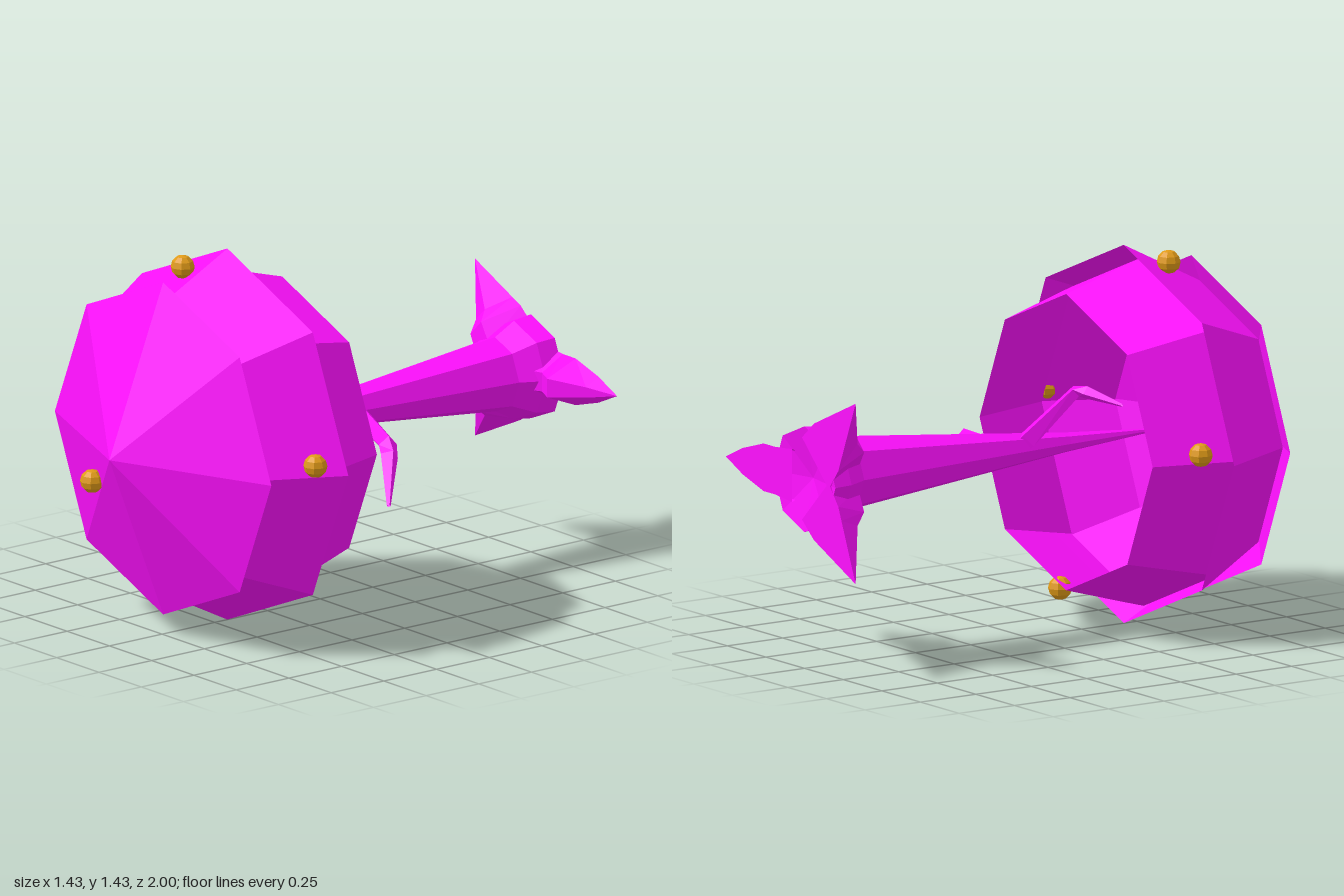
import * as THREE from 'three';

const leaf = new THREE.MeshStandardMaterial({ color: 0xff10ff, flatShading: true, side: THREE.DoubleSide });
const gold = new THREE.MeshStandardMaterial({ color: 0xe09a18, flatShading: true, side: THREE.DoubleSide });

// Octagonal surface around the z axis from [radius, z] pairs
function turned(profile) {
  const g = new THREE.LatheGeometry(profile.map(([r, z]) => new THREE.Vector2(r, z)), 8);
  return g.rotateX(Math.PI / 2);
}

// Skin joining rings that hold the same number of points
function loft(rings) {
  const n = rings[0].length, index = [];
  for (let i = 0; i < rings.length - 1; i++) {
    for (let j = 0; j < n; j++) {
      const a = i * n + j, b = i * n + (j + 1) % n;
      index.push(a, b, a + n, b, b + n, a + n);
    }
  }
  const g = new THREE.BufferGeometry().setFromPoints(rings.flat());
  g.setIndex(index);
  const flat = g.toNonIndexed();
  flat.computeVertexNormals();
  return flat;
}

// Tapered limb through [x, y, z, radius] points, square in section
function limb(nodes) {
  const pts = nodes.map(([x, y, z]) => new THREE.Vector3(x, y, z));
  return loft(pts.map((p, i) => {
    const dir = pts[Math.min(i + 1, pts.length - 1)].clone().sub(pts[Math.max(i - 1, 0)]).normalize();
    const u = new THREE.Vector3(0, 0, 1).cross(dir).normalize();
    const v = dir.clone().cross(u);
    return [0, 1, 2, 3].map(k => {
      const a = k * Math.PI / 2, r = nodes[i][3];
      return p.clone().addScaledVector(u, r * Math.cos(a)).addScaledVector(v, r * Math.sin(a));
    });
  }));
}

// Root spike along +x from [reach, half width, front z], flat against z = -1
function root(sections) {
  return loft(sections.map(([r, w, top]) => [
    new THREE.Vector3(r, -w, -1), new THREE.Vector3(r, -w * 0.4, top),
    new THREE.Vector3(r, w * 0.4, top), new THREE.Vector3(r, w, -1)
  ]));
}

export function createModel() {
  const model = new THREE.Group();
  const tree = new THREE.Group();
  tree.name = 'tree';
  tree.position.y = 0.72;
  model.add(tree);

  const add = (name, geometry, material = leaf) => {
    const mesh = new THREE.Mesh(geometry, material);
    mesh.name = name;
    tree.add(mesh);
    return mesh;
  };

  // Hollow foliage tiers
  add('topFoliage', turned([[0.64, 0.745], [0, 1]]));
  add('middleFoliage', turned([[0.715, 0.44], [0.542, 0.78]]));
  add('lowerFoliage', turned([[0.56, 0.18], [0.635, 0.44], [0.66, 0.53]]));

  // Trunk, pointed inside the foliage and flared at the foot
  add('trunk', turned([[0, -0.96], [0.2, -1], [0.19, -0.92], [0.143, -0.83], [0.037, 0.18], [0, 0.65]]));

  // Roots
  add('sideRoot', root([[0.08, 0.1, -0.86], [0.19, 0.09, -0.9], [0.265, 0.09, -0.865], [0.4, 0.05, -0.94], [0.51, 0, -1]]));
  for (const s of [1, -1]) {
    const spike = add(s > 0 ? 'upperRoot' : 'lowerRoot',
      root([[0.1, 0.12, -0.83], [0.2, 0.11, -0.85], [0.25, 0.09, -0.9], [0.475, 0, -1]]));
    spike.rotation.z = s * 2.34;
  }

  // Bent branches
  add('leftBranch', limb([[0, 0, -0.15, 0.045], [0.06, 0, -0.12, 0.045], [0.4, -0.03, 0, 0.035], [0.44, -0.06, 0.025, 0.035], [0.58, -0.2, 0.14, 0.008]]));
  add('rightBranch', limb([[0, 0, -0.04, 0.04], [-0.03, 0.04, -0.01, 0.04], [-0.15, 0.225, 0.12, 0.025], [-0.19, 0.225, 0.14, 0.025], [-0.32, 0.19, 0.21, 0.006]]));

  // Ornaments
  const spots = [[-0.09, 0.65, 0.58], [0.67, 0.05, 0.56], [-0.19, -0.135, 0.93], [0.09, -0.57, 0.215], [-0.635, 0.04, 0.345]];
  for (const p of spots) {
    add('ornament', new THREE.SphereGeometry(0.045, 8, 6), gold).position.set(...p);
  }
  return model;
}
